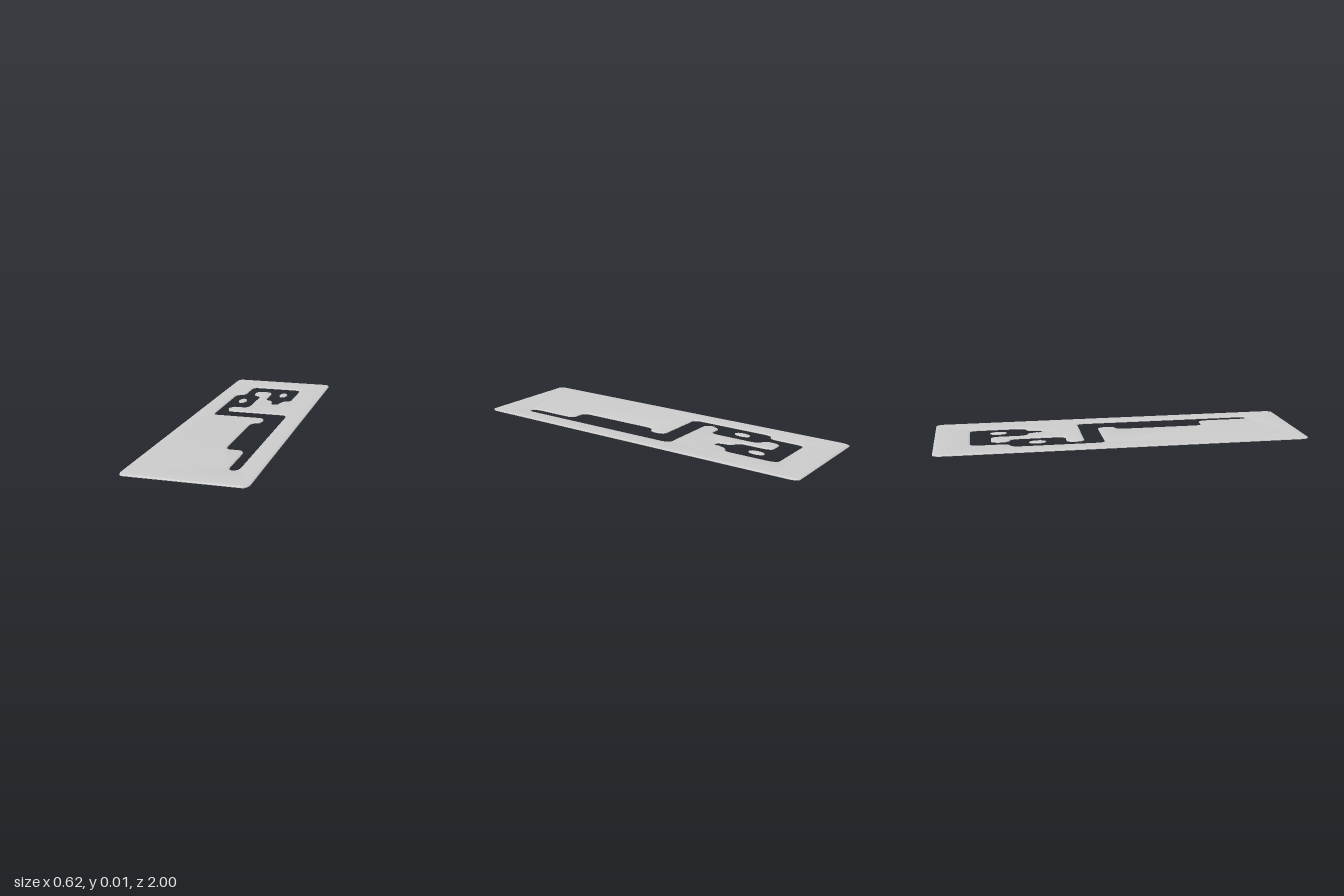
import * as THREE from 'three';
import { toCreasedNormals } from 'three/addons/utils/BufferGeometryUtils.js';

// The design sits on a grid of tall cells; every corner is rounded by half a cell
const CELL_X = 0.31 / 6, CELL_Z = 0.1;
const HEIGHT = 0.007, RIM = 0.003, BEVEL = 0.01;

// Closed outline through grid corners [column, row], rows counted toward +z
function roundedOutline(corners, Type) {
  const pts = corners.map(([c, r]) => new THREE.Vector2(c * CELL_X, -r * CELL_Z));
  const n = pts.length;
  const step = (from, to) => {
    const d = to.clone().sub(from);
    return new THREE.Vector2(Math.sign(d.x) * CELL_X / 2, Math.sign(d.y) * CELL_Z / 2).add(from);
  };
  const path = new Type();
  pts.forEach((p, i) => {
    const a = step(p, pts[(i + n - 1) % n]);
    const b = step(p, pts[(i + 1) % n]);
    if (i === 0) path.moveTo(a.x, a.y);
    else if (path.currentPoint.distanceTo(a) > 1e-6) path.lineTo(a.x, a.y);
    const c1 = a.clone().lerp(p, 0.55), c2 = b.clone().lerp(p, 0.55);
    path.bezierCurveTo(c1.x, c1.y, c2.x, c2.y, b.x, b.y);
  });
  path.closePath();
  return path;
}

// Thin plate with a flat underside and a softly sloped top edge
function plate(shape, name, material) {
  const geo = new THREE.ExtrudeGeometry(shape, {
    depth: RIM, curveSegments: 8, bevelEnabled: true, bevelSegments: 2,
    bevelThickness: HEIGHT - RIM, bevelSize: BEVEL, bevelOffset: -BEVEL,
  });
  const pos = geo.attributes.position;
  for (let i = 0; i < pos.count; i++) pos.setZ(i, Math.max(0, pos.getZ(i)));
  geo.rotateX(-Math.PI / 2);
  const mesh = new THREE.Mesh(toCreasedNormals(geo, 0.7), material);
  mesh.name = name;
  return mesh;
}

export function createModel() {
  const group = new THREE.Group();
  group.name = 'cutoutPlate';
  const material = new THREE.MeshStandardMaterial({ color: 0xcccccc });

  // Main panel with its winding cutout
  const panel = roundedOutline([[-6, 10], [6, 10], [6, -10], [-6, -10]], THREE.Shape);
  panel.holes.push(roundedOutline([
    [-3, -8.1], [3, -8.1], [3, -5], [2, -5], [2, -4.1], [1, -4.1], [1, -5], [0, -5],
    [0, -7], [-2, -7], [-2, -6], [-1, -6], [-1, -3], [-3, -3], [-3, -2.05], [4, -2.05],
    [4, 8], [3, 8], [3, 5], [1, 5], [1, 0], [2, 0], [2, -1], [-4, -1],
    [-4, -6], [-3, -6],
  ], THREE.Path));
  group.add(plate(panel, 'panel', material));

  // Loose oval islands inside the cutout
  [[1.5, -6.55, 'rightIsland'], [-2.5, -4.55, 'leftIsland']].forEach(([c, r, name]) => {
    const oval = new THREE.Shape();
    oval.absellipse(c * CELL_X, -r * CELL_Z, 0.023, 0.046, 0, Math.PI * 2);
    group.add(plate(oval, name, material));
  });
  return group;
}
